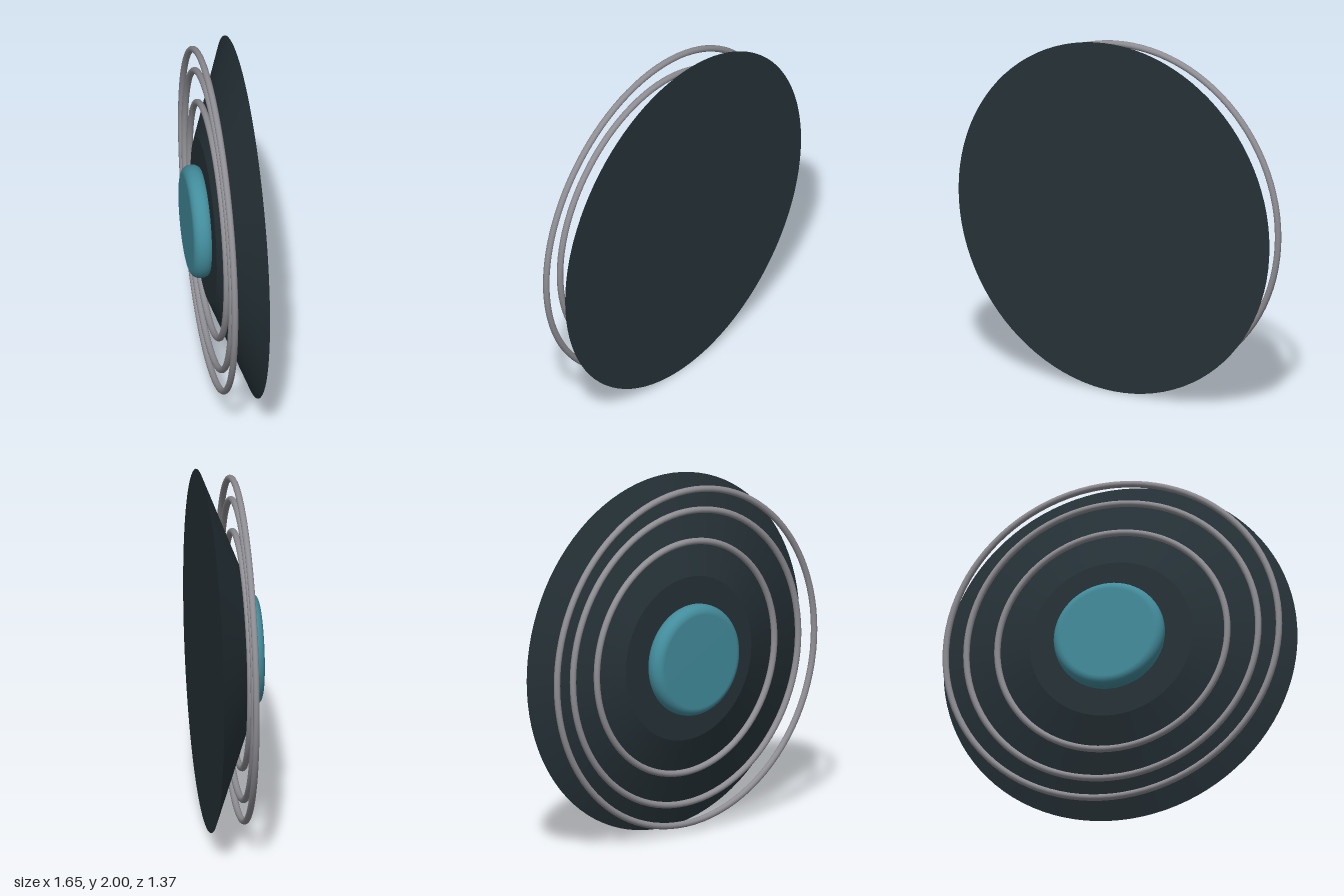
import * as THREE from 'three';

export function createModel() {
  const material = (name, color) => {
    const m = new THREE.MeshStandardMaterial({ color });
    m.name = name;
    return m;
  };
  const darkSlate = material('dark slate', 0x263238);
  const grey = material('grey metal', 0x8e8e94);
  const teal = material('teal', 0x438d9d);

  // Assembly is built facing +z, then turned about the vertical axis
  const body = new THREE.Group();
  body.name = 'assembly';
  body.position.set(0.045, 1, -0.065);
  body.rotation.y = -0.672;

  const add = (name, geometry, mat, z = 0) => {
    const mesh = new THREE.Mesh(geometry, mat);
    mesh.name = name;
    mesh.position.z = z;
    body.add(mesh);
  };

  // Tapered base: flat back, truncated cone towards the front
  add('base', new THREE.CylinderGeometry(0.46, 1, 0.21, 96).rotateX(Math.PI / 2), darkSlate, 0.105);

  // Three concentric rings in one plane
  [['innerRing', 0.65], ['middleRing', 0.825], ['outerRing', 0.942]].forEach(([name, radius]) =>
    add(name, new THREE.TorusGeometry(radius, 0.018, 14, 96), grey, 0.185));

  // Centre button: disc with a rounded rim
  const radius = 0.312, half = 0.055, round = 0.05;
  const profile = [new THREE.Vector2(0, -half)];
  for (const side of [-1, 1]) {
    for (let i = 0; i <= 8; i++) {
      const a = (side < 0 ? -Math.PI / 2 : 0) + (i / 8) * Math.PI / 2;
      profile.push(new THREE.Vector2(
        radius - round + Math.cos(a) * round,
        side * (half - round) + Math.sin(a) * round));
    }
  }
  profile.push(new THREE.Vector2(0, half));
  add('centreButton', new THREE.LatheGeometry(profile, 64).rotateX(Math.PI / 2), teal, 0.253);

  const model = new THREE.Group();
  model.name = 'ringedDisc';
  model.add(body);
  return model;
}
